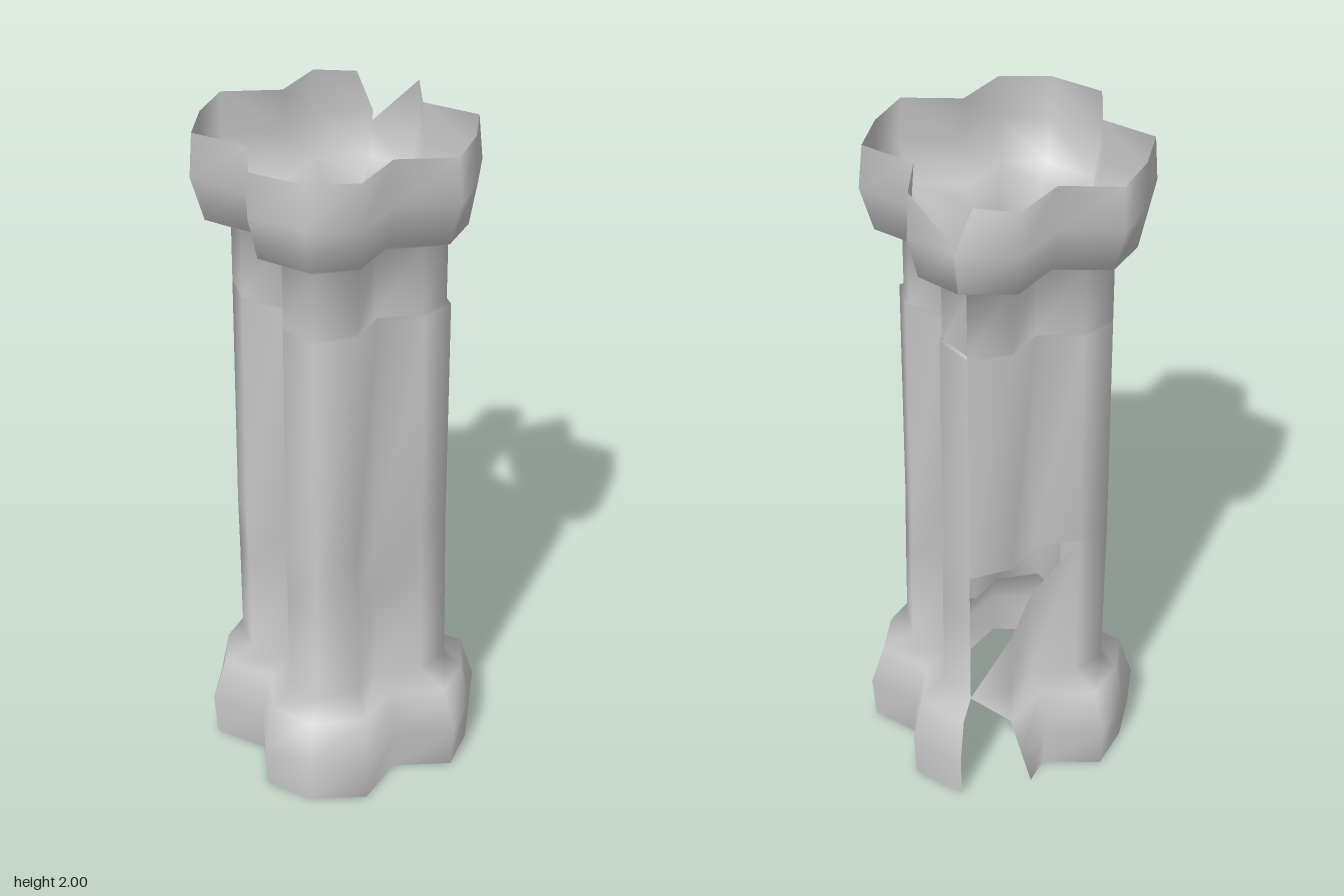
import * as THREE from 'three';

// One quarter of the four-lobed outline [x, z], from z tip to x tip
const SHAFT = [[0, 0.32], [0.105, 0.25], [0.135, 0.138], [0.262, 0.095], [0.315, 0]];
const FLARE = [[0, 0.415], [0.155, 0.372], [0.205, 0.203], [0.375, 0.152], [0.39, 0]];

// Rows: [height, flare amount, x shift]; rows 4 and 5 bound the torn hole
const ROWS = [
  [0, 0.92, 0.01], [0.13, 1, 0.01], [0.26, 0.68, 0.01], [0.3, 0, 0.006],
  [0.6, 0, 0.003], [0.77, 0, 0], [1.49, 0, 0], [1.495, 0, 0],
  [1.7, 0, 0], [1.74, 0.7, -0.01], [1.87, 1, -0.01], [2, 0.92, -0.012],
];
const HOLE_LOW = [0.302, 0.5, 0.6, 0.78];
const HOLE_HIGH = [0.75, 0.76, 0.77, 0.79];
const COLS = 17; // open loop: first and last columns meet at the back seam

// Full outline by mirroring: back tip, -x tip, front tip, +x tip, back tip
function outline(quarter, i) {
  const q = Math.floor(i / 4) % 4, k = i % 4;
  const [x, z] = quarter[q % 2 ? 4 - k : k];
  return [q < 2 ? -x : x, q === 0 || q === 3 ? -z : z];
}

// Vertices bent by the damage, keyed "column,row"
const BENT = {
  '0,11': [-0.04, 2, -0.38],
  '1,0': [-0.18, 0, -0.29],
  '1,1': [-0.165, 0.13, -0.33],
  '15,11': [0.145, 2, -0.355],
  '16,10': [0, 1.85, -0.37],
};

function vertex(i, r) {
  if (BENT[`${i},${r}`]) return BENT[`${i},${r}`];
  let [y, t, shift] = ROWS[r];
  if (i < 4 && r === 4) y = HOLE_LOW[i];
  if (i < 4 && r === 5) y = HOLE_HIGH[i];
  const a = outline(SHAFT, i), b = outline(FLARE, i);
  let x = a[0] + (b[0] - a[0]) * t + shift;
  let z = a[1] + (b[1] - a[1]) * t;
  if (i % 8 === 0) x -= shift; // seams stay on the centre line
  // the upper +x half is set in by a small step
  if (i > 8 && (r === 7 || r === 8)) { x *= 0.96; z *= 0.96; }
  return [x, y, z];
}

// Triangles of one cell, allowing for missing and half-broken cells
function cell(i, r) {
  const id = (c, row) => row * COLS + c;
  const a = id(i, r), b = id(i + 1, r), c = id(i + 1, r + 1), d = id(i, r + 1);
  if (i < 3 && r === 4) return [];            // hole in the shaft
  if (i === 0 && r < 2) return [];            // gap in the base
  if (i === 0 && r === 2) return [b, c, d];
  if (i === 15 && r === 7) return [a, c, d];  // notch under the rim
  if (i === 15 && r === 10) return [a, b, d]; // broken rim
  return [a, b, c, a, c, d];
}

function cells(from, to) {
  const index = [];
  for (let r = from; r < to; r++)
    for (let i = 0; i < COLS - 1; i++) index.push(...cell(i, r));
  return index;
}

export function createModel() {
  const group = new THREE.Group();
  group.name = 'brokenColumn';
  const material = new THREE.MeshStandardMaterial({ color: 0xcccccc, side: THREE.DoubleSide });

  // Shared vertices keep the shading smooth between the parts
  const positions = [];
  for (let r = 0; r < ROWS.length; r++)
    for (let i = 0; i < COLS; i++) positions.push(...vertex(i, r));
  const shell = new THREE.BufferGeometry();
  shell.setAttribute('position', new THREE.Float32BufferAttribute(positions, 3));
  shell.setIndex(cells(0, ROWS.length - 1));
  shell.computeVertexNormals();

  for (const [name, from, to] of [['base', 0, 3], ['shaft', 3, 8], ['capital', 8, 11]]) {
    const geometry = shell.clone();
    geometry.setIndex(cells(from, to));
    const mesh = new THREE.Mesh(geometry, material);
    mesh.name = name;
    group.add(mesh);
  }
  return group;
}
